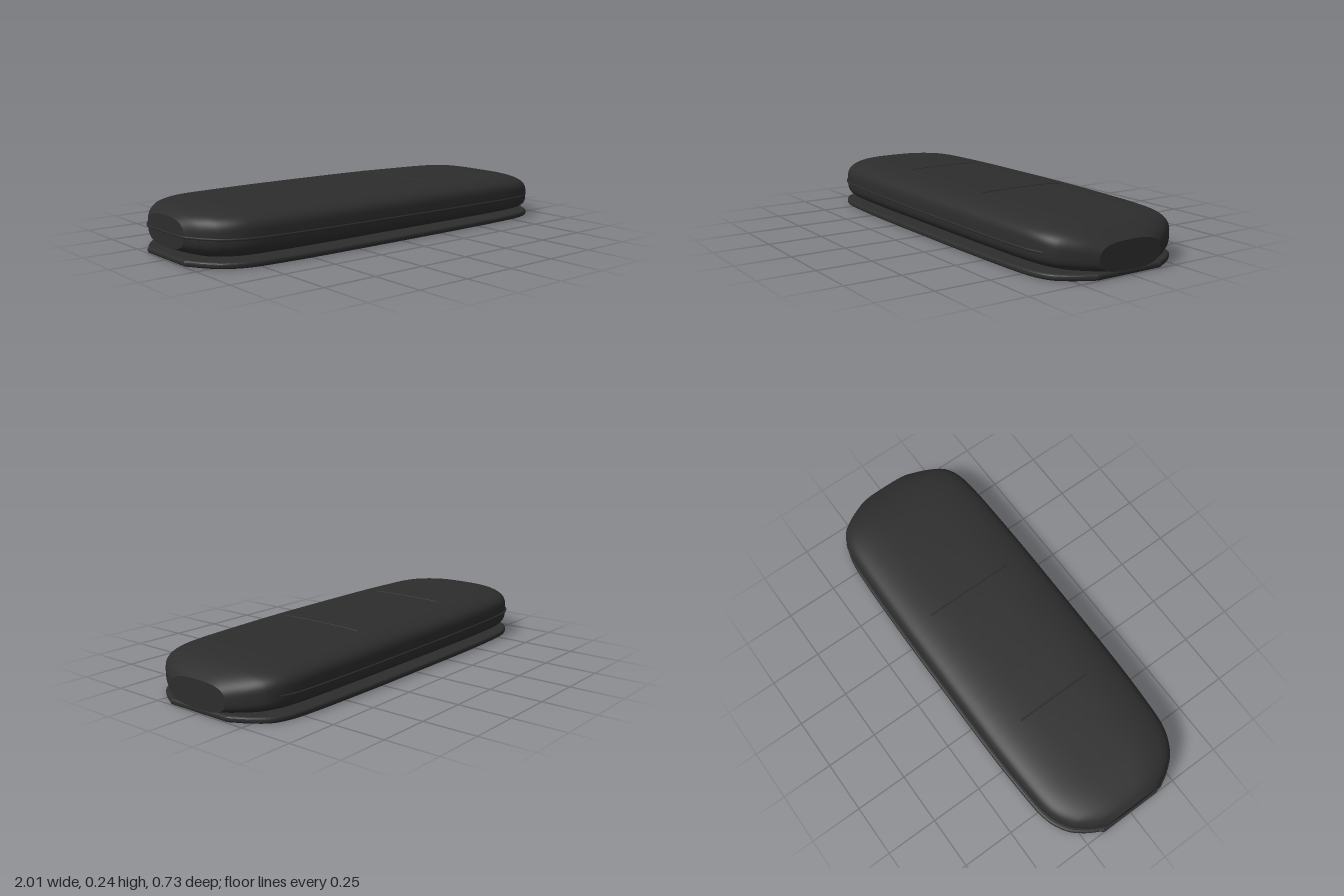
import * as THREE from 'three';

// Stations along the length: x, half width, bottom, top, squareness of the section
const STATIONS = [
  [-0.995, 0.15, 0.055, 0.19, 2.8], [-0.96, 0.215, 0.042, 0.21, 3],
  [-0.9, 0.285, 0.027, 0.223, 3.3], [-0.8, 0.333, 0.022, 0.23, 3.6],
  [-0.65, 0.349, 0.021, 0.231, 3.7], [-0.4, 0.358, 0.021, 0.232, 3.7],
  [0, 0.36, 0.021, 0.231, 3.7], [0.26, 0.36, 0.021, 0.229, 3.7],
  [0.5, 0.357, 0.021, 0.224, 3.7], [0.7, 0.351, 0.021, 0.219, 3.7],
  [0.82, 0.338, 0.021, 0.212, 3.6], [0.9, 0.305, 0.021, 0.197, 3.4],
  [0.955, 0.24, 0.021, 0.173, 3.1], [1, 0.16, 0.021, 0.145, 2.8],
];

// Smoothly interpolated station at any x
function stationAt(x) {
  const last = STATIONS.length - 1;
  let i = 0;
  while (i < last - 1 && x > STATIONS[i + 1][0]) i++;
  const p1 = STATIONS[i], p2 = STATIONS[i + 1];
  const p0 = STATIONS[Math.max(i - 1, 0)], p3 = STATIONS[Math.min(i + 2, last)];
  const h = p2[0] - p1[0], t = (x - p1[0]) / h;
  return p1.map((v, k) => {
    if (k === 0) return x;
    const m1 = (p2[k] - p0[k]) / (p2[0] - p0[0]) * h;
    const m2 = (p3[k] - p1[k]) / (p3[0] - p1[0]) * h;
    const t2 = t * t, t3 = t2 * t;
    return (2 * t3 - 3 * t2 + 1) * v + (t3 - 2 * t2 + t) * m1
      + (3 * t2 - 2 * t3) * p2[k] + (t3 - t2) * m2;
  });
}

// Sample positions, denser within the rounded ends
const SAMPLES = [];
for (let i = 0; i < STATIONS.length - 1; i++) {
  for (let k = 0; k < 4; k++) {
    SAMPLES.push(THREE.MathUtils.lerp(STATIONS[i][0], STATIONS[i + 1][0], k / 4));
  }
}
SAMPLES.push(1);

const power = (v, n) => Math.sign(v) * Math.pow(Math.abs(v), 2 / n);

// One superellipse cross-section
function section(x, sides) {
  const [, w, bottom, top, n] = stationAt(x);
  return Array.from({ length: sides }, (_, j) => {
    const a = j / sides * Math.PI * 2;
    return [x, (top + bottom) / 2 + (top - bottom) / 2 * power(Math.sin(a), n), w * power(Math.cos(a), n)];
  });
}

// Skin lofted through the sections, closed by flat ends with crisp rims
function bodyGeometry() {
  const sides = 80, pos = [], index = [];
  SAMPLES.forEach((x, i) => {
    section(x, sides).forEach((p, j) => {
      pos.push(...p);
      if (i === SAMPLES.length - 1) return;
      const a = i * sides + j, c = i * sides + (j + 1) % sides;
      index.push(a, a + sides, c, a + sides, c + sides, c);
    });
  });
  for (const x of [SAMPLES[0], 1]) {
    const [, , bottom, top] = stationAt(x);
    const centre = pos.length / 3;
    pos.push(x, (bottom + top) / 2, 0);
    section(x, sides).forEach((p, j) => {
      pos.push(...p);
      const a = centre + 1 + j, b = centre + 1 + (j + 1) % sides;
      index.push(centre, ...(x < 0 ? [a, b] : [b, a]));
    });
  }
  const g = new THREE.BufferGeometry();
  g.setAttribute('position', new THREE.Float32BufferAttribute(pos, 3));
  g.setIndex(index);
  g.computeVertexNormals();
  return g;
}

// Flat sole with a rounded rim, following the outline of the body
function soleGeometry() {
  const half = SAMPLES.map((x) => [x < -0.99 ? -1 : x, stationAt(x)[1] + 0.005]);
  const outline = [
    ...half.map(([x, w]) => new THREE.Vector2(x, -w)),
    ...half.slice().reverse().map(([x, w]) => new THREE.Vector2(x, w)),
  ];
  const bevel = 0.011;
  const g = new THREE.ExtrudeGeometry(new THREE.Shape(outline), {
    depth: 0.027 - 2 * bevel, bevelSize: bevel, bevelThickness: bevel,
    bevelOffset: -bevel, bevelSegments: 4,
  });
  g.rotateX(-Math.PI / 2);
  g.translate(0, bevel, 0);
  return g;
}

function tube(points, radius) {
  const curve = new THREE.CatmullRomCurve3(points, false, 'centripetal');
  return new THREE.TubeGeometry(curve, points.length * 3, radius, 8);
}

export function createModel() {
  const model = new THREE.Group();
  const fabric = new THREE.MeshStandardMaterial({ color: 0x2d2d2d });
  fabric.name = 'charcoal';

  const add = (name, geometry) => {
    const mesh = new THREE.Mesh(geometry, fabric);
    mesh.name = name;
    model.add(mesh);
  };

  add('body', bodyGeometry());
  add('sole', soleGeometry());

  // Piping around the sides and the left end
  const run = SAMPLES.filter((x) => x <= 0.86);
  const pipe = (side) => run.map((x) => {
    const w = stationAt(x)[1] + (x > 0.8 ? -0.001 : 0.002);
    return new THREE.Vector3(x, 0.113 - 0.008 * x, side * w);
  });
  add('sidePiping', tube([...pipe(1).reverse(), ...pipe(-1)], 0.005));

  // Stitched seams across the top
  for (const [name, x, z0, z1] of [['leftSeam', 0.26, -0.225, 0.215], ['rightSeam', -0.4, -0.19, 0.185]]) {
    const [, w, bottom, top, n] = stationAt(x);
    const points = Array.from({ length: 13 }, (_, i) => {
      const z = THREE.MathUtils.lerp(z0, z1, i / 12);
      const rise = Math.pow(1 - Math.pow(Math.abs(z) / w, n), 1 / n);
      return new THREE.Vector3(x, (top + bottom) / 2 + (top - bottom) / 2 * rise, z);
    });
    add(name, tube(points, 0.004));
  }
  return model;
}
